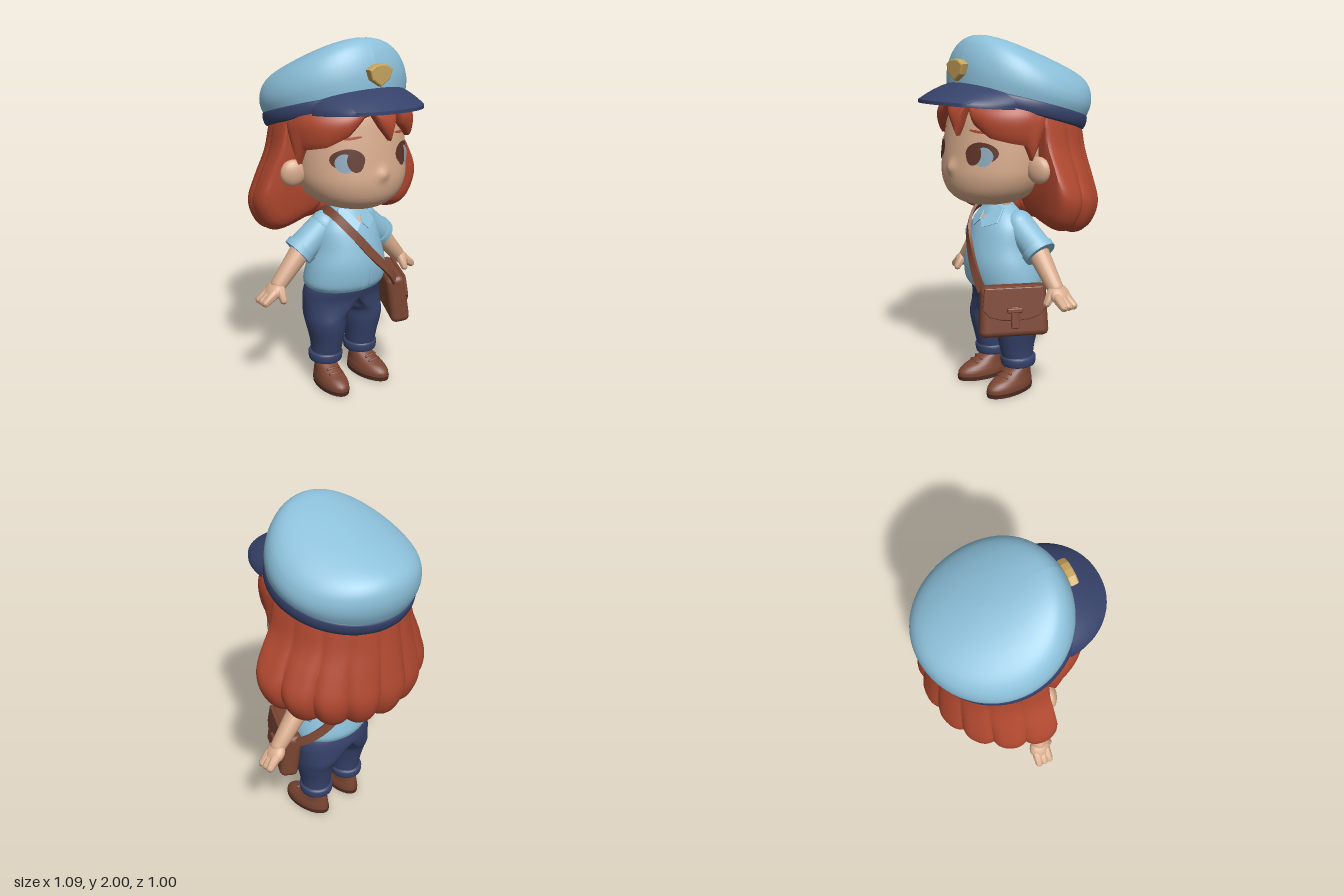
import * as THREE from 'three';
import { toCreasedNormals } from 'three/addons/utils/BufferGeometryUtils.js';
import { RoundedBoxGeometry } from 'three/addons/geometries/RoundedBoxGeometry.js';

const V = (x, y, z) => new THREE.Vector3(x, y, z);

// Grid surface from a rule fn(u, v); it faces along dP/du x dP/dv
function surf(nu, nv, fn, crease = 0.9) {
  const pos = [], idx = [];
  for (let j = 0; j <= nv; j++) for (let i = 0; i <= nu; i++) pos.push(...fn(i / nu, j / nv));
  for (let j = 0; j < nv; j++) for (let i = 0; i < nu; i++) {
    const a = j * (nu + 1) + i, d = a + nu + 1;
    idx.push(a, a + 1, d + 1, a, d + 1, d);
  }
  const g = new THREE.BufferGeometry();
  g.setAttribute('position', new THREE.Float32BufferAttribute(pos, 3));
  g.setIndex(idx);
  return toCreasedNormals(g, crease);
}

// Catmull-Rom refinement of rows of numbers
function smooth(rows, n = 5) {
  const out = [], at = i => rows[Math.min(Math.max(i, 0), rows.length - 1)];
  for (let i = 0; i < rows.length - 1; i++) for (let k = 0; k < n; k++) {
    const t = k / n;
    out.push(rows[i].map((p1, c) => {
      const p0 = at(i - 1)[c], p2 = at(i + 1)[c], p3 = at(i + 2)[c];
      return p1 + 0.5 * t * (p2 - p0 + t * (2 * p0 - 5 * p1 + 4 * p2 - p3 + t * (3 * (p1 - p2) + p3 - p0)));
    }));
  }
  out.push(at(rows.length - 1));
  return out;
}

// Stack of ellipses; rows are [y, half width, back z, front z, centre x], bottom first
function loft(rows, n = 40) {
  const cap = r => [r[0], 0, (r[2] + r[3]) / 2, (r[2] + r[3]) / 2, r[4]];
  const all = [cap(rows[0]), ...rows, cap(rows[rows.length - 1])];
  return surf(n, all.length - 1, (u, v) => {
    const [y, rx, z0, z1, cx] = all[Math.round(v * (all.length - 1))], a = u * Math.PI * 2;
    return [(cx || 0) + rx * Math.sin(a), y, (z0 + z1) / 2 + (z1 - z0) / 2 * Math.cos(a)];
  });
}
function lerpRows(rows, y) {
  let i = 0;
  while (i < rows.length - 2 && rows[i + 1][0] < y) i++;
  const t = Math.min(Math.max((y - rows[i][0]) / (rows[i + 1][0] - rows[i][0]), 0), 1);
  return rows[i].map((a, c) => a + (rows[i + 1][c] - a) * t);
}
function frontZ(rows, x, y) {
  const [, rx, z0, z1] = lerpRows(rows, y);
  return (z0 + z1) / 2 + (z1 - z0) / 2 * Math.sqrt(Math.max(0, 1 - (x / rx) ** 2));
}

// Tapered limb between two points, with round or flat ends
function limb(p, q, r0, r1, round = true) {
  const d = q.clone().sub(p), L = d.length(), pts = [];
  const N = 6, e = round ? 1 : 0;
  for (let i = 0; i <= N; i++) pts.push(new THREE.Vector2(r0 * Math.sin(i / N * Math.PI / 2), -e * r0 * Math.cos(i / N * Math.PI / 2)));
  for (let i = 0; i <= N; i++) pts.push(new THREE.Vector2(r1 * Math.cos(i / N * Math.PI / 2), L + e * r1 * Math.sin(i / N * Math.PI / 2)));
  const g = toCreasedNormals(new THREE.LatheGeometry(pts, 20), 0.9);
  g.applyQuaternion(new THREE.Quaternion().setFromUnitVectors(V(0, 1, 0), d.normalize()));
  return g.translate(p.x, p.y, p.z);
}
const lathe = pts => new THREE.LatheGeometry(smooth(pts, 4).map(p => new THREE.Vector2(Math.max(p[0], 0), p[1])), 64);
function plate(pts, depth, bevel = 0.004) {
  return new THREE.ExtrudeGeometry(new THREE.Shape(pts.map(p => new THREE.Vector2(...p))),
    { depth, bevelSize: bevel, bevelThickness: bevel, bevelSegments: 2 });
}

export function createModel() {
  const root = new THREE.Group();
  const mat = (name, color) => Object.assign(new THREE.MeshStandardMaterial({ color }), { name });
  const blue = mat('light blue cloth', 0x8cc0da), navy = mat('navy cloth', 0x36426a), red = mat('red hair', 0xb0482f),
    skin = mat('skin', 0xd6aa8b), brown = mat('brown leather', 0x7a4532), dark = mat('dark sole', 0x4f2d24),
    gold = mat('gold', 0xc6a45c), eyeBrown = mat('eye brown', 0x5f3428), eyeBlue = mat('eye blue grey', 0x8fa8ba);
  const add = (name, geo, m, parent = root) => {
    const o = new THREE.Mesh(geo, m);
    o.name = name;
    parent.add(o);
    return o;
  };

  // Head, with the nose pulled out of the face
  const head = smooth([[1.09, 0.04, 0.05, 0.16], [1.1, 0.12, -0.02, 0.24], [1.13, 0.205, -0.1, 0.3], [1.18, 0.27, -0.17, 0.34],
    [1.26, 0.312, -0.22, 0.357], [1.36, 0.325, -0.25, 0.347], [1.5, 0.322, -0.25, 0.325], [1.62, 0.31, -0.24, 0.295], [1.72, 0.24, -0.2, 0.22]], 7);
  const face = loft(head, 128), fp = face.attributes.position;
  for (let i = 0; i < fp.count; i++) if (fp.getZ(i) > 0.2) {
    const d2 = fp.getX(i) ** 2 + (fp.getY(i) - 1.31) ** 2;
    fp.setZ(i, fp.getZ(i) + 0.021 * Math.exp(-d2 / 0.0011));
  }
  add('head', toCreasedNormals(face, 1.1), skin);
  add('neck', limb(V(0, 0.98, 0.03), V(0, 1.14, 0.04), 0.064, 0.064), skin);

  // Face details lying on the head surface
  const patch = (cx, cy, rx, ry, lift, tilt = 0) => surf(28, 5, (u, v) => {
    const a = u * Math.PI * 2, x = cx + rx * (1 - v) * Math.cos(a);
    const y = cy + ry * (1 - v) * Math.sin(a) + tilt * (x - cx);
    return [x, y, frontZ(head, x, y) + lift];
  });
  for (const s of [-1, 1]) {
    add('eyeLash', patch(s * 0.18, 1.397, 0.078, 0.057, 0.003), eyeBrown);
    add('eyeWhite', patch(s * 0.199, 1.38, 0.042, 0.05, 0.006), eyeBlue);
    add('iris', patch(s * 0.152, 1.39, 0.04, 0.056, 0.009), eyeBrown);
    add('eyebrow', patch(s * 0.152, 1.508, 0.045, 0.007, 0.005, s * -0.12), red);
    add('ear', new THREE.SphereGeometry(1, 20, 14).scale(0.07, 0.072, 0.038).rotateY(s * 0.3).translate(s * 0.362, 1.31, 0.05), skin);
  }

  // Back hair: a thick scalloped curtain, open at the face
  const curtain = smooth([[1.66, 0.28, 0.3], [1.3, 0.24, 0.22], [1.1, 0.15, 0.13], [1.03, 0.19, 0.17], [0.965, 0.37, 0.35], [0.98, 0.465, 0.44],
    [1.06, 0.522, 0.487], [1.15, 0.535, 0.5], [1.26, 0.49, 0.482], [1.4, 0.42, 0.455], [1.55, 0.385, 0.425], [1.66, 0.34, 0.34], [1.66, 0.28, 0.3]], 4);
  add('backHair', surf(148, curtain.length - 1, (u, v) => {
    const i = Math.round(u * 148), shrink = [0, 0.8, 0.95][Math.min(i, 148 - i)] ?? 1;
    const w = Math.min(Math.max((i - 2) / 144, 0), 1), a = 1.5 + w * (2 * Math.PI - 3);
    const lobe = 1 - Math.abs(Math.sin(9 * Math.PI * w));
    let [y, rx, rz] = curtain[Math.round(v * (curtain.length - 1))];
    const low = Math.min(1, Math.max(0, (1.68 - y) / 0.5));
    const k = 1 - (rx > 0.33 ? 0.05 * low * lobe ** 1.6 : 0);
    y += low * (0.02 * lobe + 0.07 - 0.12 * Math.sqrt(Math.abs(Math.sin(Math.PI * w))));
    y = 1.2 + (y - 1.2) * shrink;
    rx = 0.39 + (rx * k - 0.39) * shrink;
    rz = 0.37 + (rz * k - 0.37) * shrink;
    return [rx * Math.sin(a), y, rz * Math.cos(a) - (shrink < 0.9 ? 0 : 0.005)];
  }, 0.8), red);

  // Fringe: puffed shell on the forehead; rows are [angle, lower edge]
  const edge = [[-108, 1.5], [-92, 1.47], [-84, 1.36], [-76, 1.44], [-52, 1.465], [-32, 1.52], [-16, 1.61], [-9, 1.62], [-3, 1.56], [8, 1.48],
    [13, 1.55], [15, 1.63], [18, 1.63], [25, 1.55], [43, 1.48], [62, 1.455], [76, 1.44], [84, 1.36], [92, 1.47], [108, 1.5]];
  add('fringe', surf(108, 16, (u, v) => {
    const deg = -108 + 216 * u, a = deg * Math.PI / 180, y0 = lerpRows(edge, deg)[1];
    const t = Math.max(0, v - 1 / 16) * 16 / 15, y = y0 + (1.68 - y0) * t, [, rx, z0, z1] = lerpRows(head, y);
    const puff = v === 0 ? -0.005 : 0.02 + 0.038 * Math.sin(Math.PI * Math.min(1, t * 0.9 + 0.02)) ** 0.6;
    return [(rx + puff) * Math.sin(a), y, (z0 + z1) / 2 + ((z1 - z0) / 2 + puff) * Math.cos(a)];
  }), red).material.side = THREE.DoubleSide;

  // Cap
  const cap = new THREE.Group();
  cap.name = 'cap';
  cap.position.set(0, 1.585, -0.065);
  cap.rotation.x = -0.26;
  root.add(cap);
  const crown = lathe([[0, 0], [0.36, 0], [0.385, 0.03], [0.403, 0.1], [0.408, 0.16], [0.4, 0.22], [0.375, 0.275], [0.32, 0.311], [0.2, 0.327], [0, 0.331]]);
  const cp = crown.attributes.position;
  for (let i = 0; i < cp.count; i++) {
    const h = Math.max(cp.getY(i), 0) / 0.33, z = cp.getZ(i);
    cp.setY(i, cp.getY(i) + (0.09 * z - 0.7 * cp.getX(i) ** 2) * h);
    cp.setZ(i, z + 0.008 * h);
  }
  crown.computeVertexNormals();
  add('capCrown', crown, blue, cap);
  add('capBand', lathe([[0.34, -0.015], [0.385, -0.025], [0.4, 0.0], [0.402, 0.03], [0.395, 0.05], [0.37, 0.055]]), navy, cap);
  const rim = [[0, 0], [0.5, 0], [1, 0], [1, 1], [0.75, 1], [0.5, 1], [0.25, 1], [0, 1]];
  add('visor', surf(48, 7, (u, v) => {
    const a = (u - 0.5) * 2.96, s = Math.sin(a), c = Math.cos(a), [k, top] = rim[Math.round(v * 7)];
    const xo = 0.322 * Math.sign(s) * Math.abs(s) ** 0.95, zo = 0.13 + 0.365 * c ** 0.9;
    const yo = 1.622 + 0.028 * c + 0.018 * top, yi = top ? 1.655 + 0.1 * c : 1.625 + 0.015 * c;
    return [0.33 * s * (1 - k) + xo * k, yi * (1 - k) + yo * k + top * 0.04 * c * k * (1 - k), (0.05 + 0.24 * c) * (1 - k) + zo * k];
  }), navy);
  const badge = plate([[-0.035, 0.043], [0, 0.047], [0.035, 0.043], [0.065, 0.025], [0.05, -0.018], [0, -0.05], [-0.05, -0.018], [-0.065, 0.025]], 0.03, 0.008);
  add('capBadge', badge.translate(0, 1.82, 0.294), gold);

  // Shirt with short placket and collar
  const shirt = smooth([[0.61, 0.235, -0.175, 0.195], [0.65, 0.253, -0.185, 0.215], [0.75, 0.238, -0.165, 0.225], [0.85, 0.207, -0.135, 0.21],
    [0.96, 0.185, -0.105, 0.175], [1.03, 0.135, -0.07, 0.135], [1.075, 0.068, -0.04, 0.1]]);
  add('shirt', loft(shirt, 48), blue);
  add('placket', surf(6, 10, (u, v) => {
    const x = (u - 0.5) * 0.05, y = 0.615 + 0.125 * v;
    return [x, y, frontZ(shirt, x, y) + (u === 0 || u === 1 ? 0 : 0.005)];
  }), blue);
  const drape = (g, lift) => {
    const p = g.attributes.position;
    for (let i = 0; i < p.count; i++) p.setZ(i, p.getZ(i) + lift - (p.getY(i) - 0.96) * 0.9 - 0.35 * Math.abs(p.getX(i)));
    g.computeVertexNormals();
    return g;
  };
  add('neckOpening', drape(plate([[0, 0.995], [0.045, 1.07], [-0.045, 1.07]], 0.004, 0.001), 0.198), skin);
  for (const s of [-1, 1]) {
    const pts = [[0.008, 1.0], [0.04, 0.965], [0.11, 0.995], [0.09, 1.065], [0.055, 1.085]].map(p => [p[0] * s, p[1]]);
    add('collar', drape(plate(pts, 0.007, 0.003), 0.2), blue);
  }

  // Trouser profiles: legs low down, one shared waist higher up
  const legRows = smooth([[0.17, 0.083, -0.085, 0.09, 0.125], [0.27, 0.092, -0.098, 0.115, 0.125],
    [0.38, 0.113, -0.125, 0.138, 0.128], [0.47, 0.119, -0.158, 0.143, 0.13], [0.64, 0.116, -0.158, 0.16, 0.128]]);
  const hipRows = smooth([[0.4, 0.235, -0.135, 0.13], [0.47, 0.249, -0.168, 0.145], [0.54, 0.252, -0.18, 0.156], [0.6, 0.245, -0.174, 0.172], [0.64, 0.225, -0.16, 0.17]]);

  // Arms, trousers and shoes
  for (const s of [-1, 1]) {
    const P = (x, y, z) => V(s * x, y, z);
    add('sleeve', limb(P(0.125, 0.97, 0), P(0.28, 0.84, -0.025), 0.083, 0.086, false), blue);
    add('shoulder', new THREE.SphereGeometry(0.084, 24, 16).translate(s * 0.13, 0.968, 0), blue);
    add('sleeveCuff', limb(P(0.262, 0.856, -0.022), P(0.292, 0.83, -0.026), 0.093, 0.092, false), blue);
    add('arm', limb(P(0.24, 0.88, -0.02), P(0.425, 0.675, -0.02), 0.064, 0.044), skin);
    add('palm', new THREE.SphereGeometry(1, 20, 14).scale(0.068, 0.038, 0.062).rotateZ(-s * 0.78).translate(s * 0.455, 0.645, -0.025), skin);
    for (const z of [-0.063, -0.03, 0.003]) add('finger', limb(P(0.465, 0.638, z * 0.8), P(0.524, 0.595, z), 0.031, 0.022), skin);
    add('thumb', limb(P(0.435, 0.655, 0.01), P(0.435, 0.602, 0.044), 0.029, 0.02), skin);

    add('trouserHalf', surf(40, 36, (u, v) => {
      const y = 0.17 + 0.47 * v, [, r, z0, z1, cx] = lerpRows(legRows, y), [, hr, h0, h1] = lerpRows(hipRows, y);
      const sn = s * Math.sin(u * Math.PI * 2), c = Math.cos(u * Math.PI * 2), t = THREE.MathUtils.smoothstep(y, 0.4, 0.56);
      const inner = y > 0.43 && sn < 0 ? Math.min(1, (y - 0.43) / 0.04) : 0;
      const x = THREE.MathUtils.lerp(cx + r * sn, hr * Math.max(sn, 0), Math.max(t, inner * -sn));
      return [s * x, y, THREE.MathUtils.lerp((z0 + z1) / 2 + (z1 - z0) / 2 * c, (h0 + h1) / 2 + (h1 - h0) / 2 * c, t)];
    }, 1.1), navy);
    add('trouserCuff', loft(smooth([[0.148, 0.085, -0.09, 0.09, s * 0.127], [0.155, 0.095, -0.1, 0.1, s * 0.127],
      [0.195, 0.098, -0.103, 0.104, s * 0.127], [0.207, 0.086, -0.09, 0.095, s * 0.127]], 3), 32), navy);
    add('ankle', limb(V(s * 0.128, 0.08, -0.01), V(s * 0.128, 0.17, -0.005), 0.055, 0.058), skin);
    const shoe = new THREE.Group();
    shoe.name = 'shoe';
    shoe.position.x = s * 0.13;
    shoe.rotation.y = s * 0.1;
    root.add(shoe);
    add('sole', loft([[0, 0.078, -0.092, 0.228], [0.024, 0.08, -0.094, 0.232]], 32), dark, shoe);
    add('shoeUpper', loft(smooth([[0.02, 0.077, -0.09, 0.228], [0.05, 0.077, -0.089, 0.224], [0.078, 0.07, -0.085, 0.19],
      [0.1, 0.065, -0.08, 0.135], [0.138, 0.06, -0.073, 0.065]]), 32), brown, shoe);
    for (const i of [0, 1]) add('lace', limb(V(-0.035, 0.1 + i * 0.017, 0.122 - i * 0.03), V(0.035, 0.1 + i * 0.017, 0.122 - i * 0.03), 0.008, 0.008), brown, shoe);
  }

  // Shoulder bag
  const bag = new THREE.Group();
  bag.name = 'bag';
  bag.position.set(0.255, 0.535, 0.135);
  bag.rotation.set(-0.14, 1.1, 0, 'YXZ');
  root.add(bag);
  const body = new RoundedBoxGeometry(0.385, 0.28, 0.11, 4, 0.035), bp = body.attributes.position;
  for (let i = 0; i < bp.count; i++) bp.setX(i, bp.getX(i) * (0.96 - 0.25 * bp.getY(i)));
  add('bagBody', body, brown, bag);
  const flap = [[-0.155, 0.128], [-0.168, 0.02], [-0.135, -0.02], [-0.07, -0.038], [0, -0.043], [0.07, -0.038], [0.135, -0.02], [0.168, 0.02], [0.155, 0.128]];
  add('bagFlap', plate(flap, 0.008, 0.006).translate(0, 0, 0.05), brown, bag);
  add('bagTab', new RoundedBoxGeometry(0.045, 0.12, 0.02, 2, 0.008).translate(0, -0.03, 0.067), brown, bag);
  add('bagLoop', new RoundedBoxGeometry(0.085, 0.028, 0.024, 2, 0.008).translate(0, 0.01, 0.067), brown, bag);

  // Strap: flat ribbon round the torso
  const path = new THREE.CatmullRomCurve3([[0.165, 0.645, 0.275], [0.12, 0.715, 0.28], [0.02, 0.83, 0.25], [-0.07, 0.95, 0.2], [-0.125, 1.035, 0.12],
    [-0.13, 1.06, 0.03], [-0.09, 1.0, -0.1], [0, 0.9, -0.15], [0.14, 0.77, -0.16], [0.25, 0.68, -0.1], [0.32, 0.62, -0.01]].map(p => V(...p)));
  const section = [[-1, -1], [1, -1], [1, 1], [-1, 1], [-1, -1]];
  add('strap', surf(80, 4, (u, v) => {
    const p = path.getPoint(u), t = path.getTangent(u), n = V(p.x, Math.max(0, p.y - 0.95), p.z - 0.02);
    n.addScaledVector(t, -n.dot(t)).normalize();
    const side = n.clone().cross(t), [a, b] = section[Math.round(v * 4)];
    return p.addScaledVector(side, a * 0.024).addScaledVector(n, b * 0.008).toArray();
  }, 0.6), brown).material.side = THREE.DoubleSide;
  return root;
}
